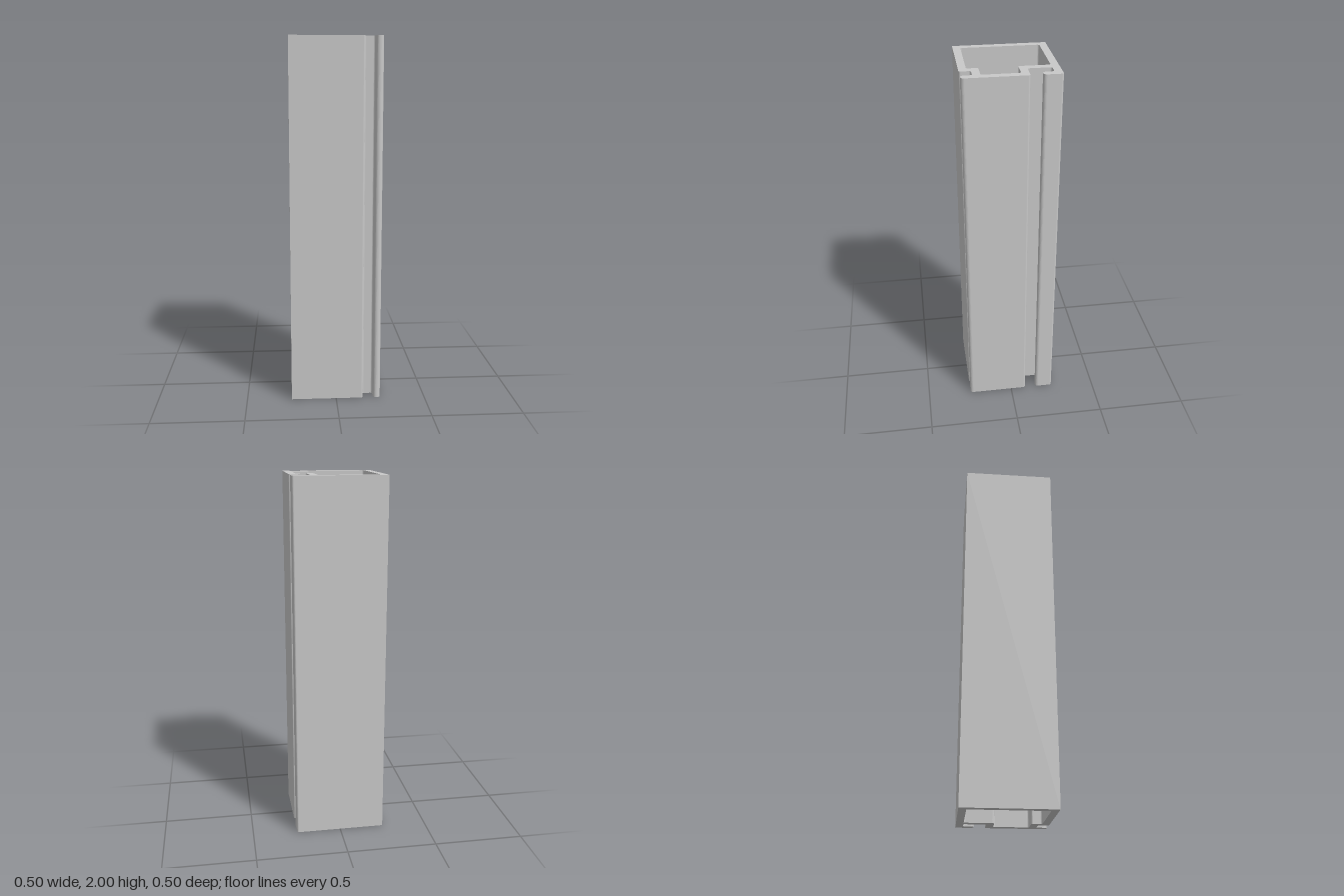
import * as THREE from 'three';

const HEIGHT = 2;
const R = 0.01;    // ordinary corner radius
const TIP = 0.0195; // rounded lip ends

// Trace a closed outline of [x, z, radius] corners with rounded corners
function trace(path, corners) {
  const pts = corners.map(([x, z]) => new THREE.Vector2(x, -z));
  const n = pts.length;
  corners.forEach(([, , r], i) => {
    const p = pts[i];
    const toward = (q, d) => p.clone().add(q.clone().sub(p).setLength(d));
    const prev = pts[(i + n - 1) % n], next = pts[(i + 1) % n];
    const a = toward(prev, r), b = toward(next, r);
    if (i === 0) path.moveTo(a.x, a.y);
    else path.lineTo(a.x, a.y);
    if (r > 0) {
      const c = toward(prev, r * 0.448), d = toward(next, r * 0.448);
      path.bezierCurveTo(c.x, c.y, d.x, d.y, b.x, b.y);
    }
  });
  path.closePath();
  return path;
}

export function createModel() {
  const group = new THREE.Group();
  group.name = 'extrudedProfile';
  const aluminium = new THREE.MeshStandardMaterial({ color: 0xc8c8c8 });
  aluminium.name = 'light grey aluminium';

  // Outer outline: square back, hooked lip, stepped groove, front lip
  const section = trace(new THREE.Shape(), [
    [-0.25, -0.25, 0], [0.25, -0.25, R], [0.25, -0.15, TIP], [0.21, -0.15, TIP],
    [0.21, -0.21, R], [0.152, -0.21, R], [0.152, -0.087, R], [0.25, -0.087, R],
    [0.25, 0.25, TIP], [0.21, 0.25, TIP], [0.21, 0.19, R], [0.152, 0.19, R],
    [0.152, 0.25, R], [-0.25, 0.25, 0],
  ]);

  // Hollow chamber, wound opposite to the outline so its walls face inward
  section.holes.push(trace(new THREE.Path(), [
    [-0.21, 0.21, R], [0.112, 0.21, R], [0.112, 0.15, R], [0.21, 0.15, R],
    [0.21, -0.047, R], [0.112, -0.047, R], [0.112, -0.21, R], [-0.21, -0.21, R],
  ]));

  const extruded = new THREE.ExtrudeGeometry(section, {
    depth: HEIGHT, bevelEnabled: false, curveSegments: 12,
  });
  extruded.rotateX(-Math.PI / 2);

  const post = new THREE.Mesh(extruded, aluminium);
  post.name = 'hollowPost';
  group.add(post);
  return group;
}
